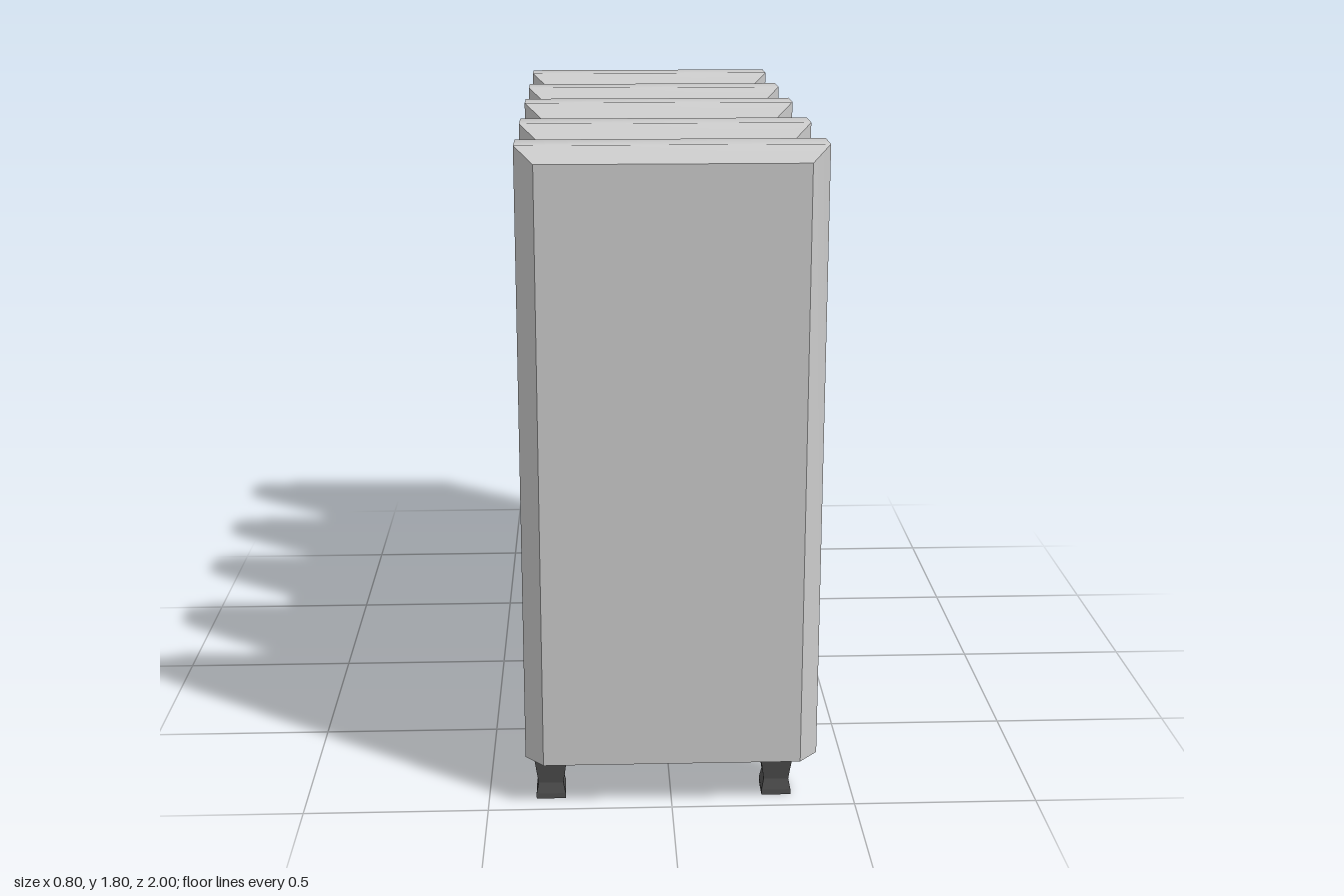
import * as THREE from 'three';
import { toCreasedNormals } from 'three/addons/utils/BufferGeometryUtils.js';

const panelMat = new THREE.MeshStandardMaterial({ color: 0xcccccc });
const darkMat = new THREE.MeshStandardMaterial({ color: 0x4f4f4f });
const footMat = darkMat.clone();
footMat.flatShading = true;

// Bevelled slab lofted through four rectangles along z; bottomInset 0 leaves the base square
function panelGeometry(bottomInset) {
  const half = 0.11, flat = 0.055, y0 = 0.13, y1 = 1.8;
  const positions = [], index = [];
  for (const [z, k] of [[half, 1], [flat, 0], [-flat, 0], [-half, 1]]) {
    const x = 0.398 - 0.05 * k, lo = y0 + bottomInset * k, hi = y1 - 0.04 * k;
    positions.push(-x, lo, z, x, lo, z, x, hi, z, -x, hi, z);
  }
  for (let r = 0; r < 3; r++) {
    for (let i = 0; i < 4; i++) {
      const a = r * 4 + i, b = r * 4 + (i + 1) % 4;
      index.push(a, a + 4, b, b, a + 4, b + 4);
    }
  }
  index.push(0, 1, 2, 0, 2, 3, 12, 14, 13, 12, 15, 14);
  const g = new THREE.BufferGeometry();
  g.setAttribute('position', new THREE.Float32BufferAttribute(positions, 3));
  g.setIndex(index);
  return toCreasedNormals(g, Math.PI / 4);
}

// Bar with clipped corners, running along z
function barGeometry(width, height, length, c) {
  const w = width / 2, h = height / 2;
  const shape = new THREE.Shape([
    [-w + c, -h], [w - c, -h], [w, -h + c], [w, h - c],
    [w - c, h], [-w + c, h], [-w, h - c], [-w, -h + c],
  ].map(([x, y]) => new THREE.Vector2(x, y)));
  return new THREE.ExtrudeGeometry(shape, { depth: length, bevelEnabled: false })
    .translate(0, 0, -length / 2);
}

// Square foot with a narrow waist
function footGeometry() {
  const profile = [[0, 0], [0.04, 0], [0.04, 0.015], [0.034, 0.045], [0.046, 0.13], [0, 0.13]]
    .map(([half, y]) => new THREE.Vector2(half * Math.SQRT2, y));
  return new THREE.LatheGeometry(profile, 4, Math.PI / 4);
}

export function createModel() {
  const group = new THREE.Group();
  const add = (name, geometry, material, x, y, z) => {
    const mesh = new THREE.Mesh(geometry, material);
    mesh.name = name;
    mesh.position.set(x, y, z);
    group.add(mesh);
  };

  // End panels stand on feet, inner panels are bevelled underneath too
  const endPanel = panelGeometry(0), innerPanel = panelGeometry(0.03);
  for (const z of [0.89, -0.89]) add('endPanel', endPanel, panelMat, 0, 0, z);
  for (const z of [0.463, -0.02, -0.437]) add('innerPanel', innerPanel, panelMat, 0, 0, z);

  // Connecting pipes
  const bar = barGeometry(0.32, 0.125, 1.64, 0.02);
  add('upperPipe', bar, darkMat, -0.012, 1.588, 0);
  add('lowerPipe', bar, darkMat, -0.012, 0.265, 0);

  // Feet
  const foot = footGeometry();
  for (const z of [0.898, -0.882]) {
    for (const x of [-0.33, 0.29]) add('foot', foot, footMat, x, 0, z);
  }
  return group;
}
